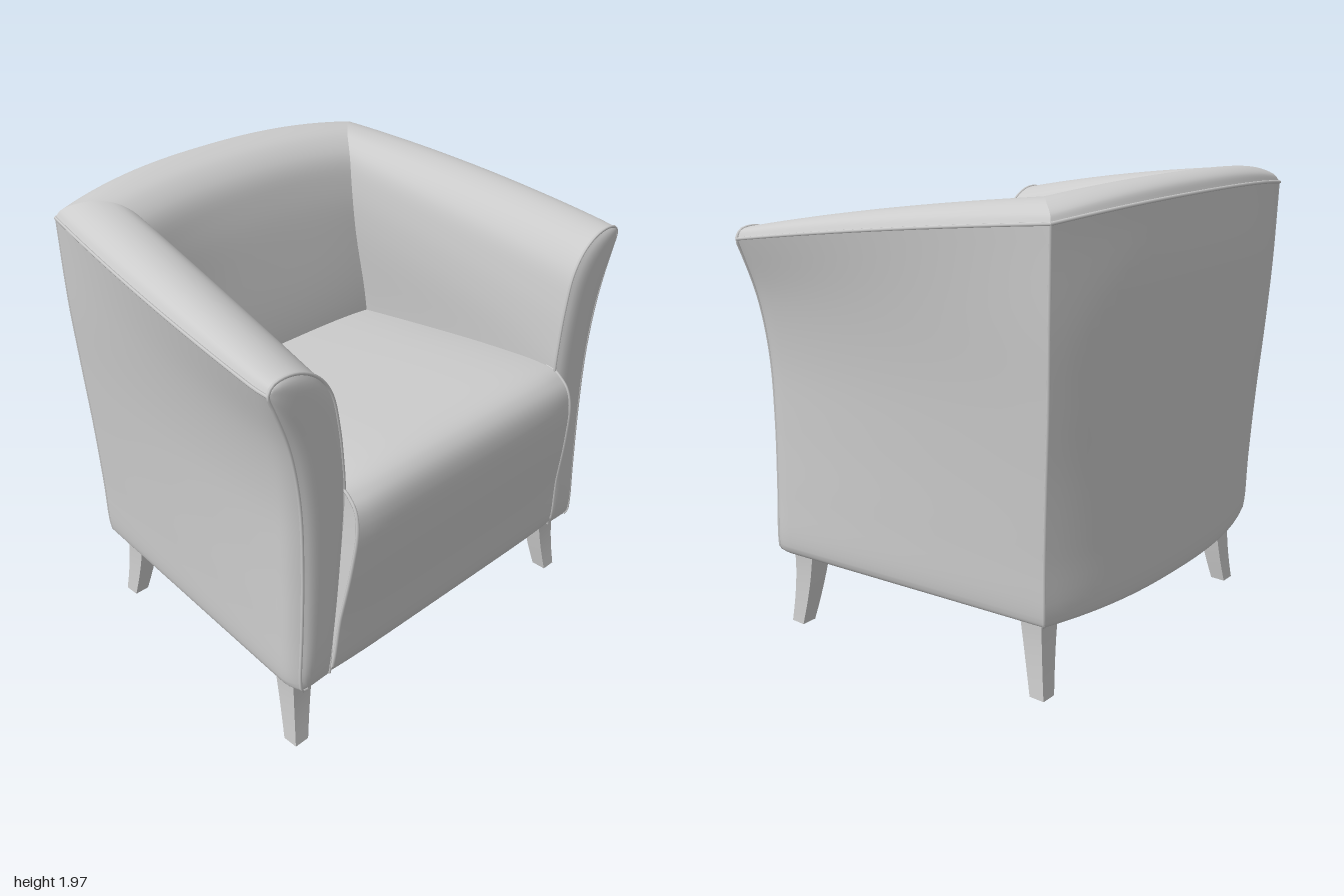
import * as THREE from 'three';
import { ParametricGeometry } from 'three/addons/geometries/ParametricGeometry.js';

const lerp = THREE.MathUtils.lerp;
const fabric = new THREE.MeshStandardMaterial({ color: 0xcccccc, side: THREE.DoubleSide });
const solid = new THREE.MeshStandardMaterial({ color: 0xcccccc });
const spline = (pts) => new THREE.CatmullRomCurve3(pts.map((p) => new THREE.Vector3(...p)));

// Cross-sections of the hollow shell: arm front, mitred corner and middle of the back.
// outer runs from the bottom lip up to the rim, inner from the rim over the crown and down.
const FZ = 0.724;
const front = {
  outer: spline([[0.83, 0.326, FZ], [0.857, 0.332, FZ], [0.865, 0.37, FZ], [0.855, 0.6, FZ], [0.846, 0.9, FZ], [0.855, 1.2, FZ],
    [0.9, 1.45, FZ], [0.99, 1.695, FZ]]),
  inner: spline([[0.99, 1.695, FZ], [0.972, 1.725, FZ], [0.92, 1.738, FZ], [0.84, 1.725, FZ], [0.76, 1.676, FZ], [0.7, 1.59, FZ],
    [0.665, 1.45, FZ], [0.645, 1.3, FZ], [0.635, 1.15, FZ], [0.66, 0.75, FZ], [0.71, 0.33, FZ]]),
};
const corner = {
  outer: spline([[0.735, 0.326, -0.61], [0.758, 0.332, -0.635], [0.768, 0.37, -0.643], [0.776, 0.6, -0.65], [0.787, 0.9, -0.665],
    [0.802, 1.2, -0.685], [0.818, 1.5, -0.7], [0.826, 1.86, -0.71]]),
  inner: spline([[0.826, 1.86, -0.71], [0.81, 1.89, -0.695], [0.765, 1.92, -0.645], [0.7, 1.93, -0.59], [0.63, 1.91, -0.52], [0.575, 1.84, -0.45],
    [0.55, 1.7, -0.41], [0.548, 1.5, -0.38], [0.58, 1.12, -0.335], [0.59, 0.75, -0.335], [0.59, 0.33, -0.335]]),
};
const middle = {
  outer: spline([[0, 0.326, -0.72], [0, 0.332, -0.75], [0, 0.37, -0.765], [0, 0.6, -0.777], [0, 0.9, -0.79], [0, 1.2, -0.805],
    [0, 1.65, -0.827], [0, 1.9, -0.808]]),
  inner: spline([[0, 1.9, -0.808], [0, 1.942, -0.785], [0, 1.963, -0.74], [0, 1.963, -0.67], [0, 1.94, -0.58], [0, 1.87, -0.5],
    [0, 1.74, -0.45], [0, 1.52, -0.4], [0, 1.12, -0.335], [0, 0.75, -0.335], [0, 0.33, -0.335]]),
};

// Smooth surface from f(u, v); flip turns the faces around
function surface(name, f, nu, nv, flip = false) {
  const geo = new ParametricGeometry((u, v, t) => t.copy(f(flip ? 1 - u : u, v)), nu, nv);
  geo.computeVertexNormals();
  const mesh = new THREE.Mesh(geo, fabric);
  mesh.name = name;
  return mesh;
}

function piping(name, points) {
  const curve = new THREE.CatmullRomCurve3(points);
  const mesh = new THREE.Mesh(new THREE.TubeGeometry(curve, points.length * 2, 0.007, 6), solid);
  mesh.name = name;
  return mesh;
}

// Arm: front section to corner section, bowed outwards at the rim and upwards along the crown,
// with a rounded front edge; stations are packed towards the front
function armPoint(side, part, station, v) {
  const u = station ** 1.7;
  const p = front[part].getPoint(v).lerp(corner[part].getPoint(v), u);
  const bow = 4 * u * (1 - u);
  if (part === 'outer') {
    const round = 1 - (1 - Math.min(1, u / 0.06)) ** 2;
    p.x += 0.03 * bow * v * v + 0.036 * round * (1 - u) * Math.sin(Math.PI * v) + 0.008 * round * (1 - u);
    p.y += 0.012 * bow * v * v;
  } else {
    p.x += (0.03 * bow + 0.008 * (1 - (1 - Math.min(1, u / 0.06)) ** 2) * (1 - u)) * Math.max(0, 1 - 2 * v);
    p.y += 0.012 * bow * (1 - v + Math.sin(Math.PI * Math.min(1, 2 * v)));
  }
  p.x *= side;
  return p;
}

// Back: corner to corner, arched through the middle section
function backPoint(part, u, v) {
  const c = corner[part].getPoint(v);
  const s = 1 - 2 * u;
  const p = c.clone().lerp(middle[part].getPoint(v), 1 - Math.abs(s) ** 2.4);
  p.x = c.x * s;
  return p;
}

// Outer and inner faces of one stretch of the shell, open underneath
function shell(name, point, flip) {
  const g = new THREE.Group();
  g.name = name;
  g.add(surface(name + 'Outside', (u, v) => point('outer', u, v), 28, 42, flip));
  g.add(surface(name + 'Inside', (u, v) => point('inner', u, v), 28, 50, flip));
  return g;
}

function createArm(side) {
  const name = side > 0 ? 'leftArm' : 'rightArm';
  const g = shell(name, (part, u, v) => armPoint(side, part, u, v), side < 0);
  // Padded front panel, spanned between the outer and inner edge
  g.add(surface(name + 'FrontPanel', (u, v) => {
    const p = front.outer.getPointAt(v).lerp(front.inner.getPointAt(1 - v), u);
    p.z += 0.022 * (1 - Math.pow(2 * u - 1, 4)) * (1 - Math.pow(2 * v - 1, 12));
    p.x *= side;
    return p;
  }, 12, 40, side > 0));
  const edge = [...front.outer.getPoints(28), ...front.inner.getPoints(40).slice(1)];
  edge.forEach((p) => { p.x *= side; });
  g.add(piping(name + 'Piping', edge));
  return g;
}

// Seat block: side profile swept across, wider towards the front and bottom, top sloping to the back
function createSeat() {
  const g = new THREE.Group();
  g.name = 'seat';
  const profile = spline([[0, 0.328, 0.3], [0, 0.328, 0.68], [0, 0.34, 0.735], [0, 0.6, 0.778], [0, 0.85, 0.816], [0, 1.03, 0.828],
    [0, 1.11, 0.806], [0, 1.155, 0.755], [0, 1.177, 0.67], [0, 1.172, 0.4], [0, 1.14, 0], [0, 1.1, -0.4]]);
  const halfWidth = (p) => {
    const t = THREE.MathUtils.clamp((p.z + 0.35) / 1.07, 0, 1);
    return lerp(0.59, 0.638, t) + Math.max(0, 1.15 - p.y) * lerp(0.02, 0.088, t);
  };
  const skin = (u, v) => {
    const p = profile.getPoint(v);
    const s = 2 * u - 1;
    p.x = s * halfWidth(p);
    if (p.y > 1) p.y += 0.024 * (1 - s ** 4) * Math.min(1, (p.y - 1) / 0.15);
    if (p.z > 0.7) p.z -= 0.02 * s ** 6 * Math.min(1, (p.z - 0.7) / 0.08);
    return p;
  };
  g.add(surface('seatCover', skin, 24, 66));
  for (const side of [1, -1]) {
    const u0 = side > 0 ? 1 : 0;
    g.add(surface('seatSide', (u, v) => skin(u0, v).lerp(new THREE.Vector3(side * 0.63, 0.7, 0.3), u), 4, 66, side < 0));
    g.add(piping('seatPiping', Array.from({ length: 30 }, (_, i) => skin(u0, lerp(0.2, 0.72, i / 29)))));
  }
  // Flat panel closing the middle of the underside
  const base = new THREE.Mesh(new THREE.BoxGeometry(1.24, 0.015, 1.3), solid);
  base.name = 'seatBase';
  base.position.set(0, 0.328, 0.05);
  g.add(base);
  return g;
}

// Square leg, tapered and curving out towards the floor
function createLeg(name, side, top, foot) {
  const H = 0.35;
  const geo = new THREE.BoxGeometry(1, H, 1, 1, 6, 1);
  const pos = geo.attributes.position;
  for (let i = 0; i < pos.count; i++) {
    const t = 0.5 - pos.getY(i) / H;
    const w = lerp(0.112, 0.068, Math.pow(t, 0.75));
    const k = Math.pow(t, 1.5);
    pos.setXYZ(i, pos.getX(i) * w + side * lerp(top[0], foot[0], k), pos.getY(i) + H / 2,
      pos.getZ(i) * w + lerp(top[1], foot[1], k));
  }
  geo.computeVertexNormals();
  const mesh = new THREE.Mesh(geo, solid);
  mesh.name = name;
  return mesh;
}

export function createModel() {
  const model = new THREE.Group();
  model.name = 'armchair';
  model.add(shell('back', backPoint, false), createSeat());
  for (const side of [1, -1]) {
    model.add(createArm(side));
    model.add(createLeg('frontLeg', side, [0.788, 0.603], [0.822, 0.647]));
    model.add(createLeg('backLeg', side, [0.663, -0.537], [0.7, -0.58]));
    // Seam down the back corner
    const seam = corner.outer.getPoints(28);
    seam.forEach((p) => { p.x = side * (p.x - 0.003); p.z += 0.004; });
    model.add(piping('cornerSeam', seam));
    // Piping along the arm rim
    model.add(piping('armRimPiping', Array.from({ length: 17 }, (_, i) => armPoint(side, 'outer', i / 16, 1))));
  }
  model.add(piping('backRimPiping', Array.from({ length: 21 }, (_, i) => backPoint('outer', i / 20, 1))));
  return model;
}
